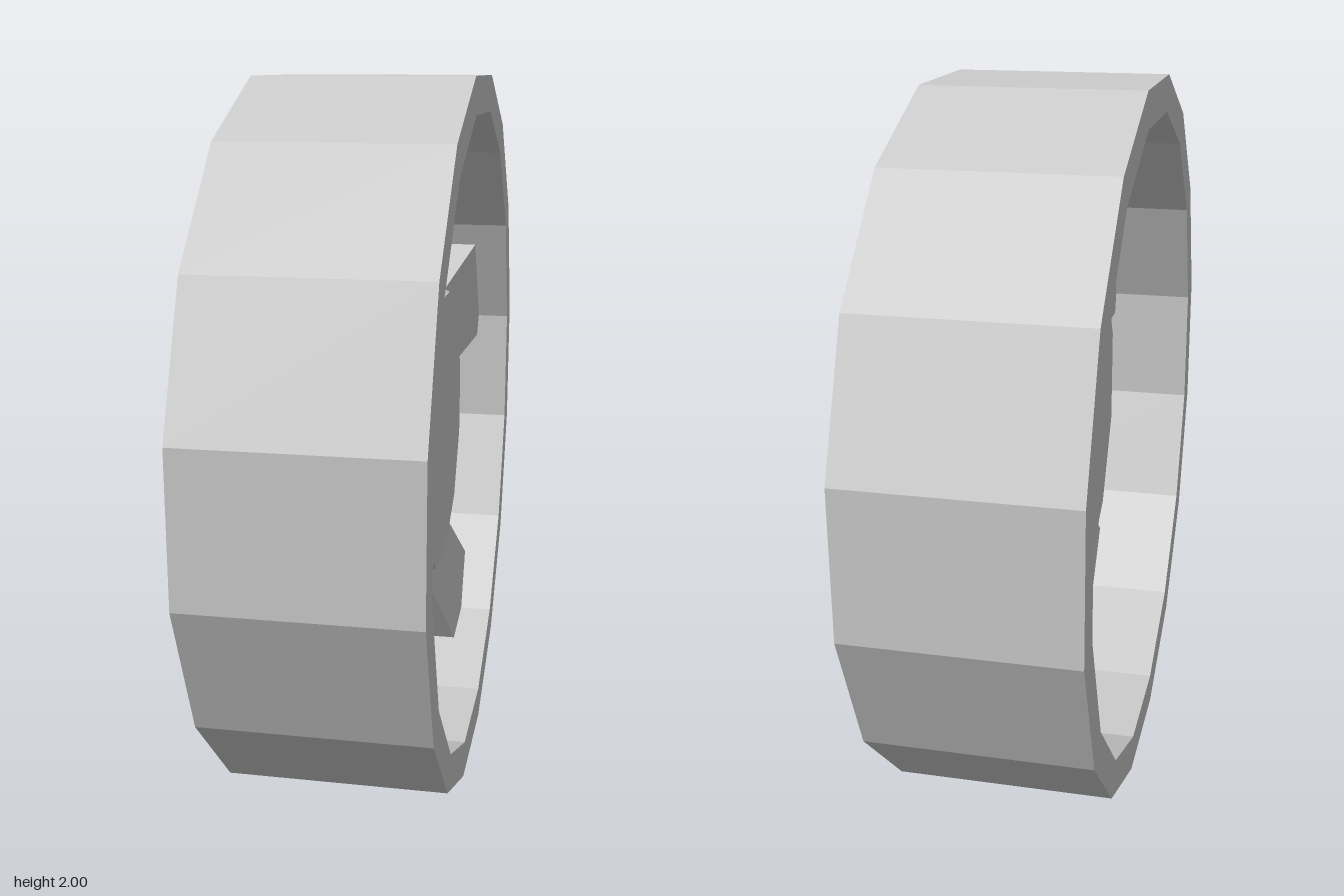
import * as THREE from 'three';

const material = new THREE.MeshStandardMaterial({ color: 0xcccccc, flatShading: true });

function facetedMesh(geometry, name) {
  const g = geometry.index ? geometry.toNonIndexed() : geometry;
  g.computeVertexNormals();
  const mesh = new THREE.Mesh(g, material);
  mesh.name = name;
  return mesh;
}

// Polygonal turning around the x axis; profile is [apothem, x], flats facing up and down
function turned(profile, sides, name) {
  const scale = 1 / Math.cos(Math.PI / sides);
  const points = profile.map(([a, x]) => new THREE.Vector2(a * scale, x));
  const g = new THREE.LatheGeometry(points, sides, Math.PI / sides);
  g.rotateZ(-Math.PI / 2);
  return facetedMesh(g, name);
}

// Spoke pointing up, lofted through rectangles [radius, halfWidth, backX, frontX]
function spokeGeometry(sections) {
  const rings = sections.map(([r, w, back, front]) => [
    [front, r, w], [front, r, -w], [back, r, -w], [back, r, w],
  ]);
  const pos = [];
  const quad = (a, b, c, d) => pos.push(...a, ...b, ...c, ...a, ...c, ...d);
  for (let i = 0; i < rings.length - 1; i++) {
    for (let j = 0; j < 4; j++) {
      const k = (j + 1) % 4;
      quad(rings[i][j], rings[i][k], rings[i + 1][k], rings[i + 1][j]);
    }
  }
  const first = rings[0], last = rings[rings.length - 1];
  quad(first[3], first[2], first[1], first[0]);
  quad(...last);
  const g = new THREE.BufferGeometry();
  g.setAttribute('position', new THREE.Float32BufferAttribute(pos, 3));
  return g;
}

export function createModel() {
  const wheel = new THREE.Group();
  wheel.name = 'wheel';

  // Sixteen-sided rim band
  wheel.add(turned([[0.9, -0.3], [1, -0.3], [1, 0.3], [0.9, 0.3], [0.9, -0.3]], 16, 'rim'));

  // Twelve-sided conical hub with a chamfered cap
  wheel.add(turned([[0, -0.1], [0.53, -0.1], [0.41, 0.15], [0.39, 0.2], [0, 0.2]], 12, 'hub'));

  // Five dished spokes, ends buried in hub and rim
  const spoke = spokeGeometry([
    [0.34, 0.205, 0, 0.155],
    [0.55, 0.15, 0, 0.12],
    [0.92, 0.176, -0.05, 0.203],
  ]);
  for (let i = 0; i < 5; i++) {
    const mesh = facetedMesh(spoke, 'spoke' + (i + 1));
    mesh.rotation.x = (i * Math.PI * 2) / 5;
    wheel.add(mesh);
  }

  wheel.position.y = 1;
  const model = new THREE.Group();
  model.name = 'wheelModel';
  model.add(wheel);
  return model;
}
